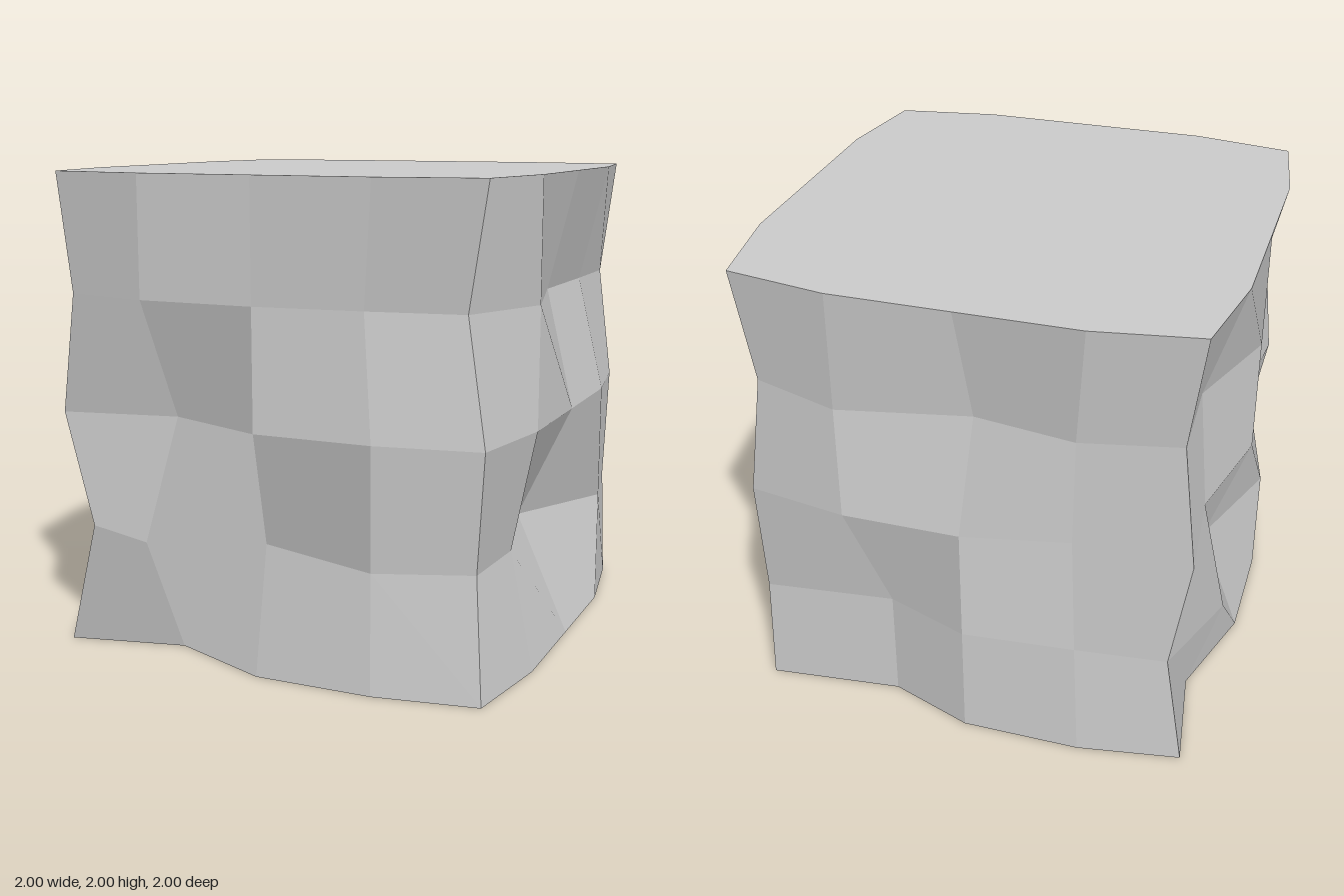
import * as THREE from 'three';

const RINGS = 5, SIDE = 4, COUNT = SIDE * 4, STEP = 0.5;

// Dented points per ring, bottom to top: index around the ring -> [x, z]
const dents = [
  { 1: [-0.44, 0.82], 9: [0.36, -0.87], 13: [-0.86, -0.46] },
  { 0: [-0.84, 0.875], 2: [-0.04, 0.82], 4: [0.88, 0.86], 5: [0.9, 0.5], 6: [0.76, -0.03],
    8: [0.91, -0.93], 9: [0.36, -0.87], 11: [-0.47, -0.96], 12: [-0.85, -0.92], 14: [-0.82, -0.02] },
  { 1: [-0.44, 0.83], 11: [-0.44, -0.91], 13: [-0.89, -0.5], 15: [-0.9, 0.49] },
  { 0: [-0.88, 0.91], 3: [0.45, 0.95], 4: [0.84, 0.885], 6: [0.87, -0.03], 7: [0.88, -0.5],
    8: [0.88, -0.875], 10: [-0.035, -0.89], 11: [-0.46, -0.955], 12: [-0.86, -0.87],
    13: [-0.84, -0.465], 15: [-0.855, 0.42] },
  {},
];

// Undented square ring with drawn-in corners, starting at front -x and running towards +x
function basePoint(i) {
  const k = i % SIDE, turns = Math.floor(i / SIDE);
  let [x, z] = k === 0 ? [-0.93, 0.93] : [-1 + k * STEP, 1];
  for (let t = 0; t < turns; t++) [x, z] = [z, -x];
  return [x, z];
}

function ringPoint(level, i) {
  const n = i % COUNT;
  const [x, z] = dents[level][n] ?? basePoint(n);
  return new THREE.Vector3(x, level * STEP, z);
}

function facetedMesh(name, points, normals) {
  const geometry = new THREE.BufferGeometry().setFromPoints(points);
  const flat = normals.flatMap((n) => n.toArray());
  geometry.setAttribute('normal', new THREE.Float32BufferAttribute(flat, 3));
  const mesh = new THREE.Mesh(geometry, new THREE.MeshStandardMaterial({ color: 0xcccccc }));
  mesh.name = name;
  return mesh;
}

// Chipped walls: one evenly shaded four-sided facet per cell
function buildWalls() {
  const points = [], normals = [];
  for (let level = 0; level < RINGS - 1; level++) {
    for (let i = 0; i < COUNT; i++) {
      const a = ringPoint(level + 1, i), b = ringPoint(level, i);
      const c = ringPoint(level, i + 1), d = ringPoint(level + 1, i + 1);
      points.push(a, b, c, a, c, d);
      const normal = c.clone().sub(a).cross(d.clone().sub(b)).normalize();
      normals.push(...Array(6).fill(normal));
    }
  }
  return facetedMesh('walls', points, normals);
}

// Flat top or bottom as a fan around the centre
function buildCap(name, level, up) {
  const points = [];
  const centre = new THREE.Vector3(0, level * STEP, 0);
  for (let i = 0; i < COUNT; i++) {
    const p = ringPoint(level, i), q = ringPoint(level, i + 1);
    points.push(centre, ...(up > 0 ? [p, q] : [q, p]));
  }
  return facetedMesh(name, points, points.map(() => new THREE.Vector3(0, up, 0)));
}

export function createModel() {
  const group = new THREE.Group();
  group.name = 'roughBlock';
  group.add(buildWalls(), buildCap('topFace', RINGS - 1, 1), buildCap('bottomFace', 0, -1));
  return group;
}
